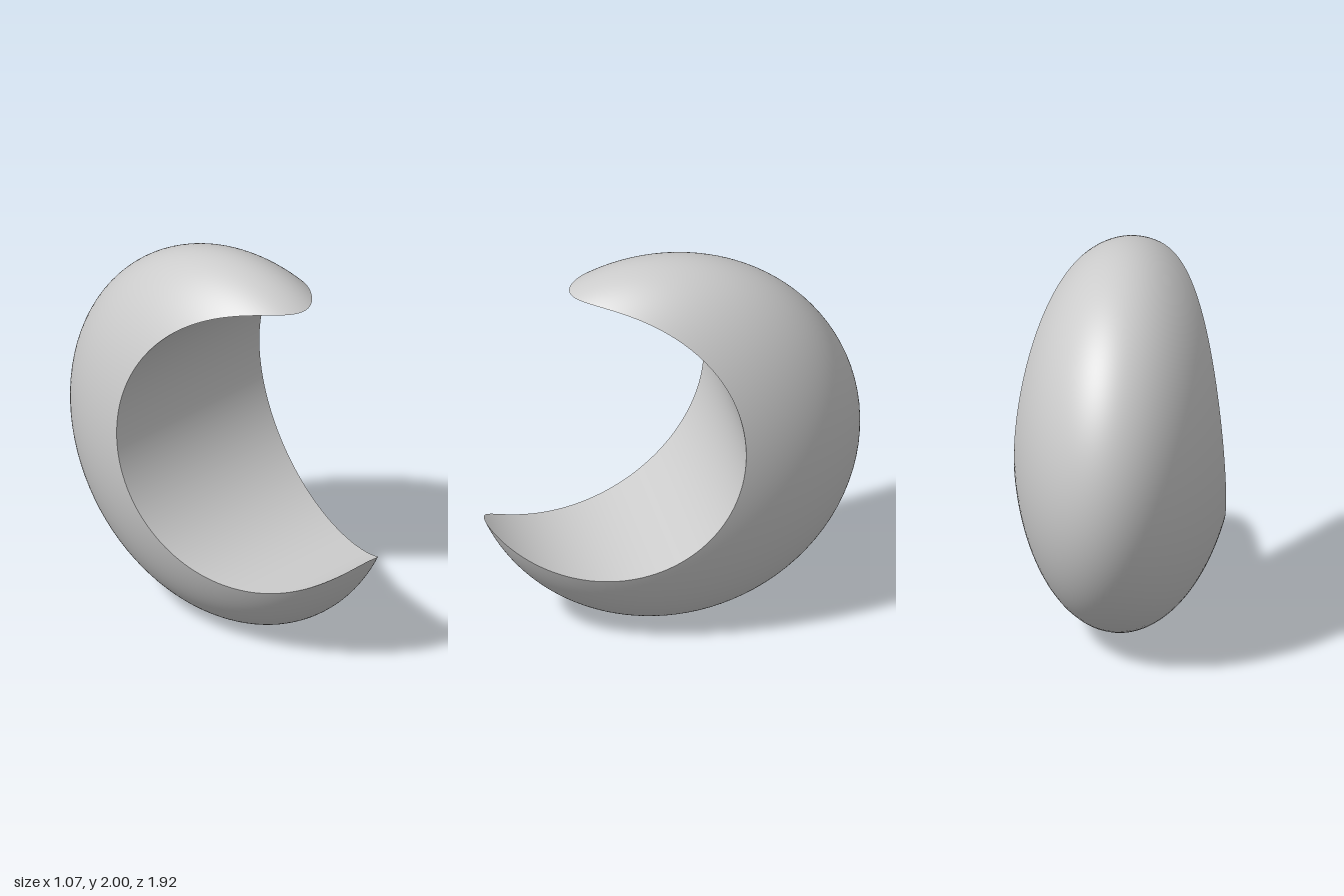
import * as THREE from 'three';

// Outer body: ellipsoid with unit radius in the yz plane, half-width A along x
const A = 0.558;
const OUTER = { z: 0.04, y: 1 };
// Carved hollow: cylinder along x
const HOLLOW = { z: 0.46, y: 1.145, r: 0.733 };

const dz = OUTER.z - HOLLOW.z, dy = OUTER.y - HOLLOW.y;
const D = Math.hypot(dz, dy);
const baseAngle = Math.atan2(dy, dz);
// Half-angle of the crescent, seen from the axis of the hollow
const tipAngle = Math.acos((D * D + HOLLOW.r ** 2 - 1) / (2 * D * HOLLOW.r));

// Bends a flat grid (u, v in -1..1); v sweeps from tip to tip, u across the width
function bend(segU, segV, place) {
  const geo = new THREE.PlaneGeometry(2, 2, segU, segV);
  const pos = geo.attributes.position, nor = geo.attributes.normal;
  for (let i = 0; i < pos.count; i++) {
    const u = pos.getX(i);
    const psi = -tipAngle * Math.sin(pos.getY(i) * Math.PI / 2); // denser near the tips
    const dirZ = Math.cos(baseAngle + psi), dirY = Math.sin(baseAngle + psi);
    // Slice of the ellipsoid along this ray: centre distance, radius, half-angle
    const mid = D * Math.cos(psi);
    const rho = Math.sqrt(1 - (D * Math.sin(psi)) ** 2);
    const half = Math.acos(THREE.MathUtils.clamp((HOLLOW.r - mid) / rho, -1, 1));
    const { x, dist, normal } = place(u, mid, rho, half);
    const y = HOLLOW.y + dirY * dist, z = HOLLOW.z + dirZ * dist;
    const n = normal === 'inward'
      ? new THREE.Vector3(0, -dirY, -dirZ)
      : new THREE.Vector3(x / (A * A), y - OUTER.y, z - OUTER.z).normalize();
    pos.setXYZ(i, x, y, z);
    nor.setXYZ(i, n.x, n.y, n.z);
  }
  return geo;
}

export function createModel() {
  const group = new THREE.Group();
  group.name = 'crescent';
  const material = new THREE.MeshStandardMaterial({ color: 0xcccccc });

  // Rounded back of the crescent
  const outer = new THREE.Mesh(bend(64, 128, (u, mid, rho, half) => ({
    x: -A * rho * Math.sin(u * half),
    dist: mid + rho * Math.cos(u * half),
    normal: 'outward',
  })), material);
  outer.name = 'outerShell';

  // Cylindrical hollow, sharing its rim with the back
  const inner = new THREE.Mesh(bend(8, 128, (u, mid, rho, half) => ({
    x: u * A * rho * Math.sin(half),
    dist: HOLLOW.r,
    normal: 'inward',
  })), material);
  inner.name = 'innerHollow';

  group.add(outer, inner);
  return group;
}
